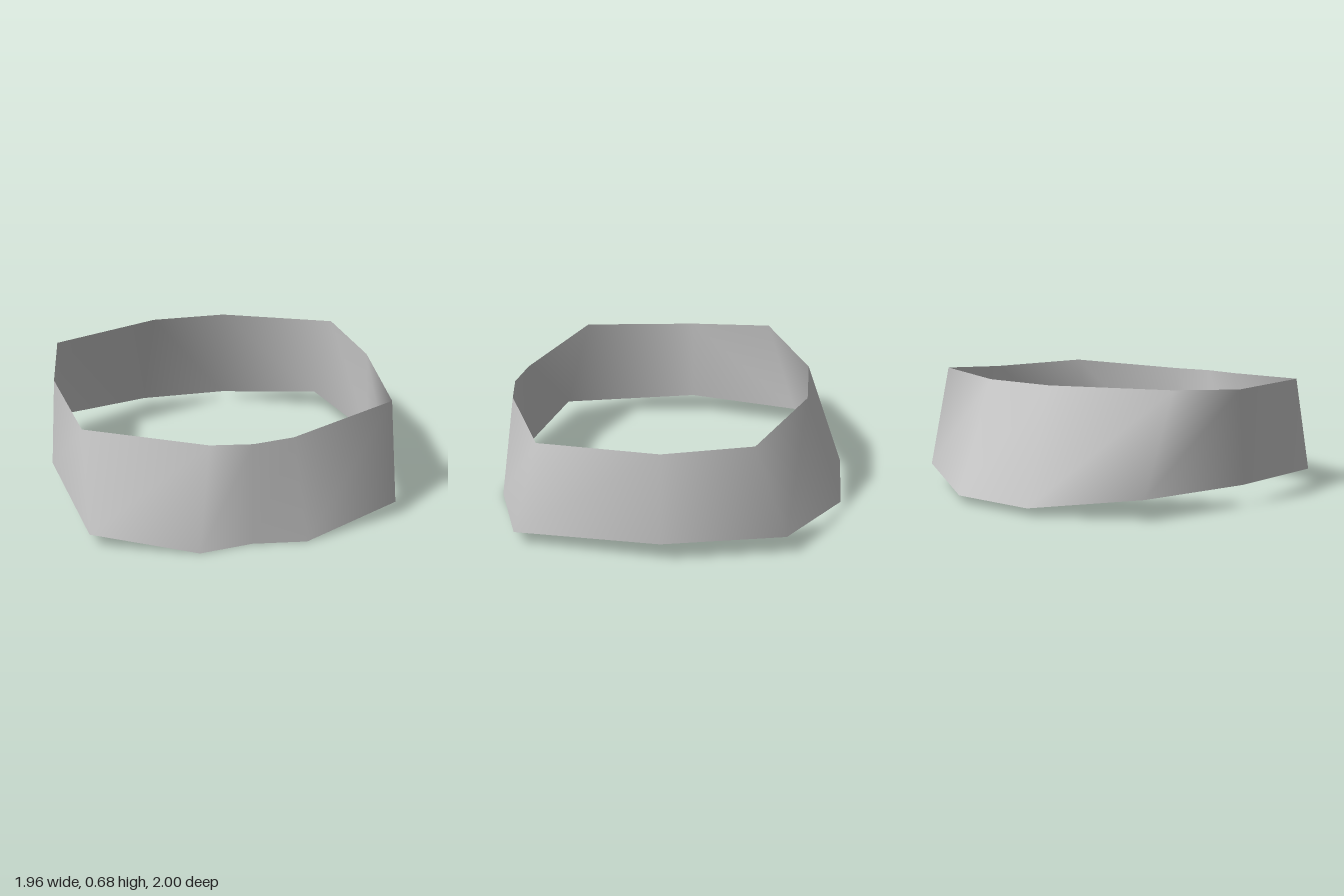
import * as THREE from 'three';

// Half outline from front centre round the left side to the back: [bottom x,y,z, top x,y,z]
const half = [
  [0, 0, 0.96, 0, 0.605, 0.96],
  [0.30, 0, 1.0, 0.23, 0.605, 0.925],
  [0.87, 0.08, 0.81, 0.87, 0.64, 0.66],
  [0.98, 0.117, -0.02, 0.945, 0.645, -0.02],
  [0.83, 0.117, -0.70, 0.87, 0.68, -0.515],
  [0.265, 0.042, -1.0, 0.225, 0.68, -0.78],
];

export function createModel() {
  const grey = new THREE.MeshStandardMaterial({ color: 0xcccccc, side: THREE.DoubleSide });
  grey.name = 'light grey';

  // Mirror the half outline into a closed ring
  const mirrored = half.slice(1).reverse().map(([a, b, c, d, e, f]) => [-a, b, c, -d, e, f]);
  const ring = [...half, ...mirrored];

  // Join the lower and upper edges with one thin wall
  const index = [];
  ring.forEach((_, i) => {
    const b0 = 2 * i, b1 = 2 * ((i + 1) % ring.length);
    index.push(b0, b1, b1 + 1, b0, b1 + 1, b0 + 1);
  });
  const geometry = new THREE.BufferGeometry();
  geometry.setAttribute('position', new THREE.Float32BufferAttribute(ring.flat(), 3));
  geometry.setIndex(index);
  geometry.computeVertexNormals();

  const band = new THREE.Mesh(geometry, grey);
  band.name = 'band';
  const group = new THREE.Group();
  group.name = 'collar';
  group.add(band);
  return group;
}
